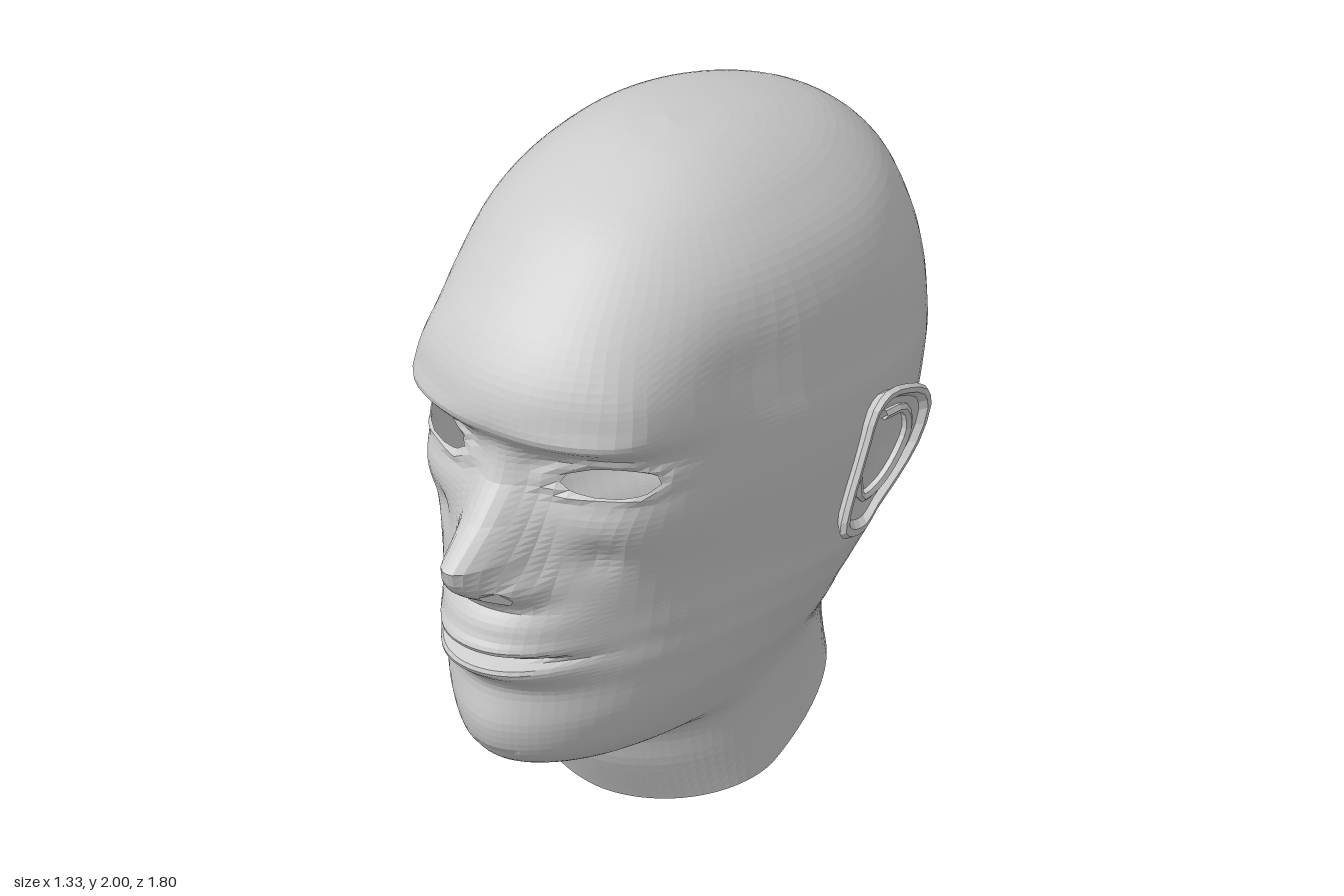
import * as THREE from 'three';

const material = new THREE.MeshStandardMaterial({ color: 0xcccccc, flatShading: true, side: THREE.DoubleSide });
const { lerp, smoothstep } = THREE.MathUtils;

// Rings from neck to crown: front y, front z, back y, back z, half width, z of the widest point
const RINGS = [
  [0.0, 0.18, 0.25, -0.65, 0.40, -0.08], [0.13, 0.245, 0.36, -0.62, 0.40, -0.09],
  [0.26, 0.30, 0.48, -0.60, 0.405, -0.10], [0.275, 0.42, 0.54, -0.60, 0.41, -0.11],
  [0.28, 0.58, 0.58, -0.60, 0.42, -0.12], [0.33, 0.67, 0.62, -0.60, 0.44, -0.13],
  [0.43, 0.70, 0.66, -0.60, 0.475, -0.14], [0.55, 0.695, 0.70, -0.60, 0.505, -0.15],
  [0.62, 0.70, 0.75, -0.62, 0.53, -0.17], [0.68, 0.70, 0.79, -0.64, 0.545, -0.20],
  [0.74, 0.70, 0.83, -0.68, 0.56, -0.22], [0.82, 0.695, 0.89, -0.73, 0.57, -0.25],
  [0.9, 0.68, 0.95, -0.78, 0.58, -0.27], [1.0, 0.665, 1.03, -0.83, 0.59, -0.28],
  [1.1, 0.655, 1.11, -0.85, 0.60, -0.30], [1.2, 0.645, 1.2, -0.87, 0.605, -0.32],
  [1.3, 0.655, 1.3, -0.885, 0.605, -0.34], [1.38, 0.70, 1.38, -0.90, 0.59, -0.35],
  [1.48, 0.685, 1.48, -0.90, 0.575, -0.35], [1.6, 0.61, 1.6, -0.88, 0.55, -0.33],
  [1.74, 0.47, 1.74, -0.835, 0.485, -0.28], [1.85, 0.33, 1.85, -0.72, 0.385, -0.22],
  [1.93, 0.17, 1.93, -0.53, 0.275, -0.17], [1.98, 0.03, 1.98, -0.31, 0.15, -0.13],
  [2.0, -0.12, 2.0, -0.12, 0, -0.12],
];

// Openings in the face: centre x, centre y, half width, half height
const EYE = [0.27, 1.225, 0.12, 0.041];
const NOSTRIL = [0.08, 0.885, 0.036, 0.034];

// Heights of the nose ridge above the face, and its half widths: y, height, width
const NOSE = [[0.82, 0, 0.14], [0.85, 0.045, 0.14], [0.88, 0.11, 0.135], [0.91, 0.165, 0.125], [0.95, 0.21, 0.11],
  [1.0, 0.23, 0.1], [1.1, 0.115, 0.09], [1.2, 0.045, 0.075], [1.33, 0, 0.07]];

const bump = (x, y, cx, cy, rx, ry) => Math.exp(-(((x - cx) / rx) ** 2) - ((y - cy) / ry) ** 2);
const radius = (x, y, [cx, cy, rx, ry]) => Math.hypot((x - cx) / rx, (y - cy) / ry);

function nose(x, y) {
  const i = NOSE.findIndex((n, k) => k > 0 && y <= n[0]);
  if (i < 0 || y < NOSE[0][0]) return 0;
  const [a, b] = [NOSE[i - 1], NOSE[i]];
  const k = (y - a[0]) / (b[0] - a[0]);
  return lerp(a[1], b[1], k) * Math.exp(-((x / lerp(a[2], b[2], k)) ** 2.5));
}

// Forward displacement of the face at x >= 0
function relief(x, y) {
  const lips = Math.exp(-((x / 0.22) ** 4)) * (0.06 * Math.exp(-(((y - 0.71) / 0.115) ** 4))
    + 0.02 * Math.exp(-(((y - 0.715) / 0.022) ** 2))
    + 0.025 * Math.exp(-(((y - 0.64) / 0.03) ** 2))
    - 0.055 * Math.exp(-(((y - 0.68) / 0.013) ** 2)));
  return nose(x, y) + lips
    + 0.03 * bump(x, y, 0.125, 0.9, 0.035, 0.045)                          // nose wings
    + 0.025 * bump(x, y, 0.26, 1.36, 0.17, 0.04)                           // brow
    - 0.065 * bump(x, y, 0.26, 1.25, 0.17, 0.08)                           // eye socket
    + 0.018 * Math.exp(-(((radius(x, y, EYE) - 1.25) / 0.3) ** 2))         // eyelids
    + 0.02 * bump(x, y, 0.36, 1.06, 0.12, 0.08)                            // cheekbone
    - 0.025 * bump(x, y, 0.27, 0.99, 0.05, 0.06)                           // crease under the cheek
    - 0.02 * bump(x, y, 0.33, 0.74, 0.1, 0.14)                             // hollow beside the mouth
    + 0.01 * bump(x, y, 0, 0.42, 0.14, 0.09);                              // chin
}

// Flat temples and a broad brow: width factor at a given height and depth
const planFactor = (y, z) => 1 + (1 - smoothstep(y, 1.45, 1.75))
  * (0.13 * smoothstep(y, 0.95, 1.25) * Math.exp(-(((z - 0.58) / 0.11) ** 2))
    - 0.06 * smoothstep(y, 0.5, 0.9) * Math.exp(-(((z - 0.2) / 0.18) ** 2)));

// Surface from a grid of points; skip(corners) leaves a quad out
function gridMesh(name, rows, skip = () => false) {
  const cols = rows[0].length, index = [];
  for (let i = 0; i < rows.length - 1; i++) {
    for (let j = 0; j < cols - 1; j++) {
      const a = i * cols + j, b = a + 1, c = b + cols, d = a + cols;
      if (!skip([rows[i][j], rows[i][j + 1], rows[i + 1][j + 1], rows[i + 1][j]])) index.push(a, b, c, a, c, d);
    }
  }
  const geometry = new THREE.BufferGeometry().setFromPoints(rows.flat());
  geometry.setIndex(index);
  geometry.computeVertexNormals();
  const mesh = new THREE.Mesh(geometry, material);
  mesh.name = name;
  return mesh;
}

function createHead() {
  const front = new THREE.CatmullRomCurve3(RINGS.map(r => new THREE.Vector3(r[0], r[1], r[4])));
  const back = new THREE.CatmullRomCurve3(RINGS.map(r => new THREE.Vector3(r[2], r[3], r[5])));
  const half = 40, steps = (RINGS.length - 1) * 5;
  const rows = [];
  for (let i = 0; i <= steps; i++) {
    const { x: yf, y: zf, z: w } = front.getPoint(i / steps);
    const { x: yb, y: zb, z: zw } = back.getPoint(i / steps);
    const row = [];
    for (let j = -half; j <= half; j++) {
      const t = Math.PI * (Math.abs(j) / half) ** 1.3;
      const c = Math.cos(t);
      // Narrow chin and cheeks, fuller forehead, rounded back
      const power = c > 0 ? lerp(1.87, 2.2, smoothstep(yf, 0.75, 1.25)) : lerp(1.9, 2, smoothstep(yf, 0.5, 1));
      const zEnd = c > 0 ? zf : zb;
      let x = Math.max(w, 0) * Math.abs(Math.sin(t)) ** (2 / power);
      let z = zw + (zEnd - zw) * Math.abs(c) ** (2 / power);
      const k = Math.abs(zf - zb) < 1e-4 ? 0 : (zf - z) / (zf - zb);
      // The cut of the neck arches up at the sides
      let y = lerp(yf, yb, k) + 0.04 * Math.sin(Math.PI * k) * Math.max(0, 1 - yf / 0.26);
      let hole = false, push = 0;
      if (c > 0 && y > 0.35 && y < 1.6) {
        // Points inside an opening move out to its edge
        for (const o of [EYE, NOSTRIL]) {
          const r = radius(x, y, o);
          if (r >= 1) continue;
          hole = true;
          if (r > 0.01) {
            x = o[0] + (x - o[0]) / r;
            y = o[1] + (y - o[1]) / r;
          }
        }
        if (hole) z = zw + (zf - zw) * (1 - (x / w) ** power) ** (1 / power);
        push = relief(x, y) * Math.min(1, c * 2);
      }
      const p = new THREE.Vector3(x * planFactor(y, z) * Math.sign(j), y, z + push);
      p.hole = hole;
      row.push(p);
    }
    rows.push(row);
  }
  return gridMesh('head', rows, corners => corners.every(p => p.hole));
}

// Ear outline as z, y
const EAR = [[-0.13, 0.87], [-0.14, 0.95], [-0.17, 1.05], [-0.2, 1.15], [-0.23, 1.24], [-0.28, 1.28],
  [-0.36, 1.27], [-0.44, 1.23], [-0.46, 1.17], [-0.42, 1.06], [-0.34, 0.97], [-0.26, 0.9], [-0.21, 0.845], [-0.16, 0.845]];
const earPoint = (z, y, out) => new THREE.Vector3(0.58 + 0.09 * (y - 0.85) + 0.09 * (-z - 0.13) + out, y, z);

function createEar(name) {
  const ear = new THREE.Group();
  ear.name = name;
  const outline = new THREE.CatmullRomCurve3(EAR.map(([z, y]) => new THREE.Vector3(0, y, z)), true).getPoints(28);
  // Rings: back, rim, inner rim, bowl as scale and outward offset
  const rings = [[0.75, -0.06], [0.9, -0.015], [1, 0.008], [0.96, 0.024], [0.88, 0.024], [0.8, 0.004], [0.55, -0.004], [0, -0.01]];
  ear.add(gridMesh('earShell', rings.map(([s, out]) => outline.map(p =>
    earPoint(-0.29 + (p.z + 0.29) * s, 1.09 + (p.y - 1.09) * s, out)))));
  // Inner fold
  const fold = new THREE.CatmullRomCurve3([[-0.28, 1.2], [-0.36, 1.19], [-0.385, 1.12], [-0.34, 1.03], [-0.27, 0.97], [-0.21, 0.96], [-0.19, 1.03]]
    .map(([z, y]) => earPoint(z, y, 0.002)));
  const foldMesh = new THREE.Mesh(new THREE.TubeGeometry(fold, 18, 0.016, 6), material);
  foldMesh.name = 'earFold';
  ear.add(foldMesh);
  return ear;
}

export function createModel() {
  const model = new THREE.Group();
  model.name = 'humanHead';
  const rightEar = createEar('rightEar');
  rightEar.scale.x = -1;
  model.add(createHead(), createEar('leftEar'), rightEar);
  return model;
}
